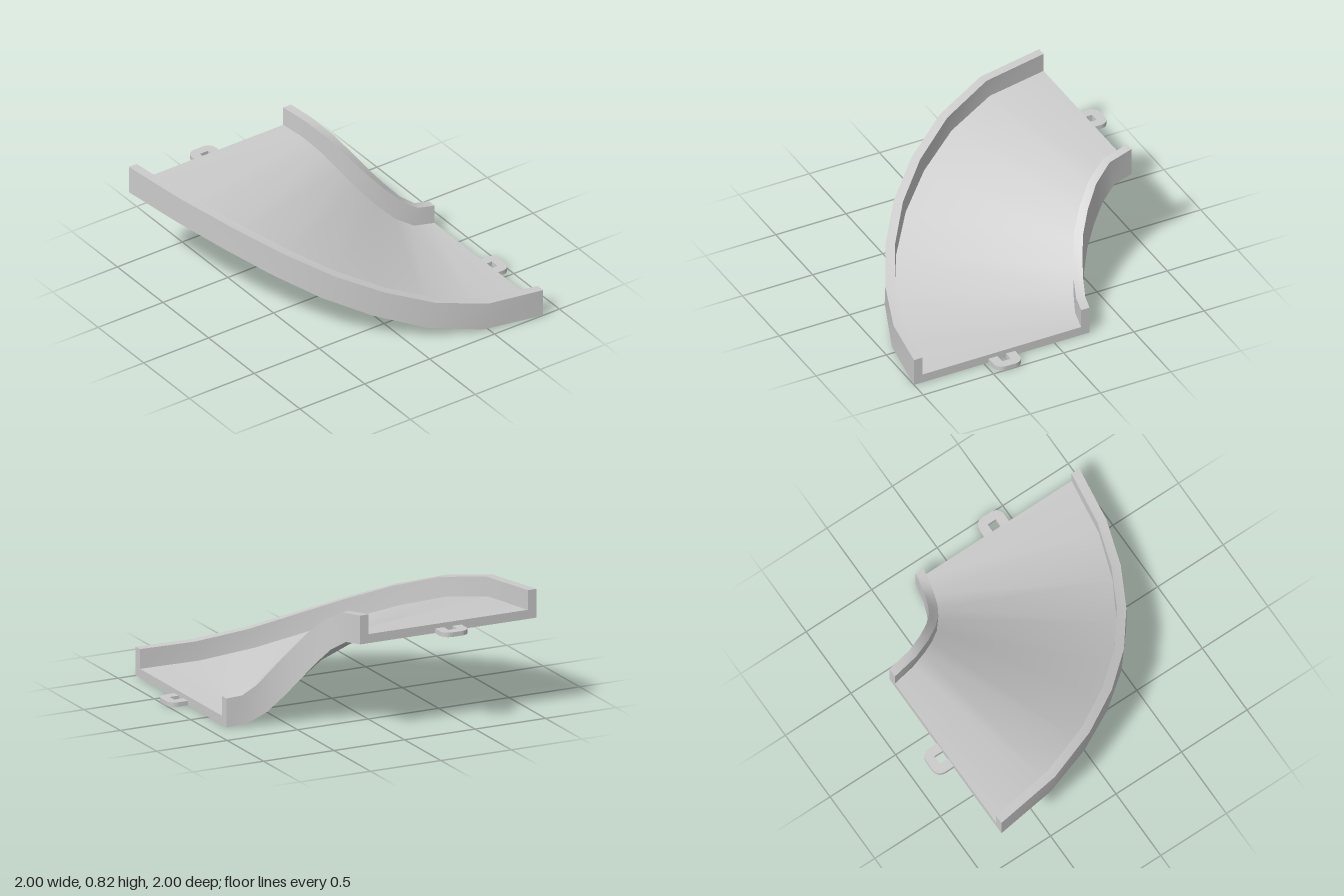
import * as THREE from 'three';

const CENTER = -0.875;   // pivot of the quarter turn in x and z
const DROP = 0.63;       // height lost along the ramp

// Stations along the quarter turn: angle (degrees), middle radius, height
const STATIONS = [
  [0, 1.25, 0.63], [13, 1.235, 0.613], [24.4, 1.223, 0.54],
  [35, 1.219, 0.433], [45, 1.221, 0.316], [55, 1.219, 0.2],
  [65.6, 1.223, 0.09], [77, 1.235, 0.017], [90, 1.25, 0],
];

// Channel cross-section: floor with a rail on each side (across, up)
const PROFILE = [
  [-0.625, 0], [0.625, 0], [0.625, 0.19], [0.565, 0.19],
  [0.565, 0.06], [-0.565, 0.06], [-0.565, 0.19], [-0.625, 0.19],
];

// Cross-section at one station, held square to the sloping path
function ring([deg, radius, height], i) {
  const a = THREE.MathUtils.degToRad(deg);
  const t = i / (STATIONS.length - 1);
  const pitch = Math.atan(DROP * 6 * t * (1 - t) / 1.95);
  const out = new THREE.Vector3(Math.sin(a), 0, Math.cos(a));
  const up = new THREE.Vector3(Math.cos(a) * Math.sin(pitch), Math.cos(pitch), -Math.sin(a) * Math.sin(pitch));
  const origin = new THREE.Vector3(CENTER, height, CENTER).addScaledVector(out, radius);
  return PROFILE.map(([u, v]) => origin.clone().addScaledVector(out, u).addScaledVector(up, v));
}

function channelGeometry() {
  const rings = STATIONS.map(ring);
  const n = PROFILE.length;
  const positions = [], index = [];
  const add = (p) => positions.push(p.x, p.y, p.z) / 3 - 1;

  // One strip per profile edge: smooth along the path, sharp across it
  for (let k = 0; k < n; k++) {
    let previous = null;
    for (const r of rings) {
      const pair = [add(r[k]), add(r[(k + 1) % n])];
      if (previous) {
        const [p0, q0] = previous, [p1, q1] = pair;
        index.push(p0, p1, q1, p0, q1, q0);
      }
      previous = pair;
    }
  }

  // End caps
  const faces = THREE.ShapeUtils.triangulateShape(PROFILE.map(([u, v]) => new THREE.Vector2(u, v)), []);
  [rings[0], rings[rings.length - 1]].forEach((r, end) => {
    const ids = r.map(add);
    for (const [a, b, c] of faces) {
      if (end) index.push(ids[a], ids[c], ids[b]);
      else index.push(ids[a], ids[b], ids[c]);
    }
  });

  const geometry = new THREE.BufferGeometry();
  geometry.setAttribute('position', new THREE.Float32BufferAttribute(positions, 3));
  geometry.setIndex(index);
  geometry.computeVertexNormals();
  return geometry;
}

// U-shaped connector loop that sticks out towards -z
function loopGeometry() {
  const w = 0.094, d = 0.125, r = 0.06, hole = 0.031, deep = 0.065;
  const s = new THREE.Shape();
  s.moveTo(hole, 0);
  s.lineTo(w, 0);
  s.lineTo(w, d - r);
  s.absarc(w - r, d - r, r, 0, Math.PI / 2);
  s.lineTo(r - w, d);
  s.absarc(r - w, d - r, r, Math.PI / 2, Math.PI);
  s.lineTo(-w, 0);
  s.lineTo(-hole, 0);
  s.lineTo(-hole, deep);
  s.lineTo(hole, deep);
  s.closePath();
  return new THREE.ExtrudeGeometry(s, { depth: 0.03, bevelEnabled: false, curveSegments: 3 }).rotateX(-Math.PI / 2);
}

export function createModel() {
  const group = new THREE.Group();
  group.name = 'curvedRampTrack';
  const material = new THREE.MeshStandardMaterial({ color: 0xcccccc });

  const channel = new THREE.Mesh(channelGeometry(), material);
  channel.name = 'curvedChannel';
  group.add(channel);

  // Connector loops at the low and high ends
  const loop = loopGeometry();
  const lower = new THREE.Mesh(loop, material);
  lower.name = 'lowerConnectorLoop';
  lower.position.set(0.375, 0, CENTER);
  const upper = new THREE.Mesh(loop, material);
  upper.name = 'upperConnectorLoop';
  upper.position.set(CENTER, DROP, 0.375);
  upper.rotation.y = Math.PI / 2;
  group.add(lower, upper);

  return group;
}
